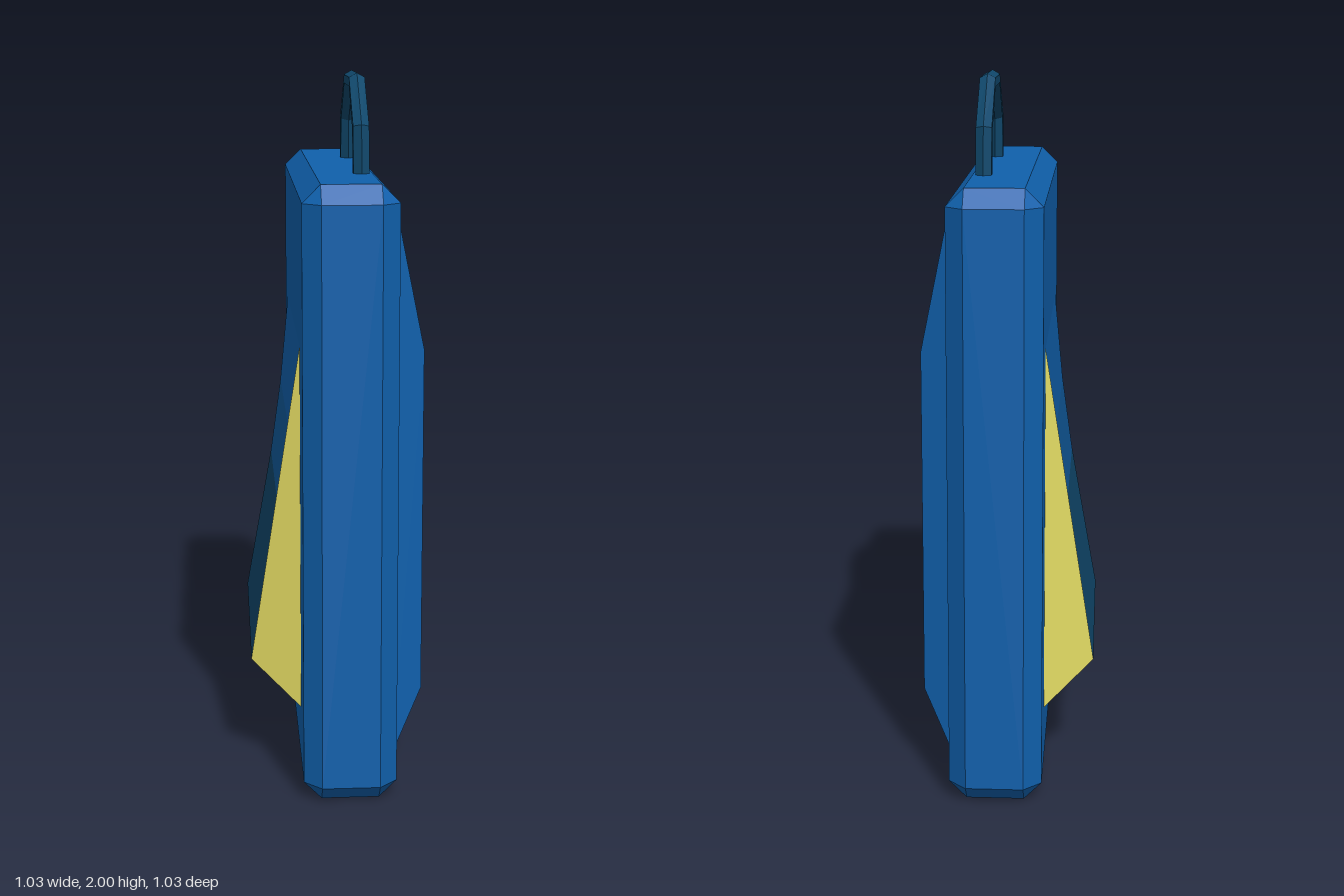
import * as THREE from 'three';
import { ConvexGeometry } from 'three/addons/geometries/ConvexGeometry.js';

const paint = (name, color) => {
  const m = new THREE.MeshStandardMaterial({ color });
  m.name = name;
  return m;
};

// Flat convex polygons, each turned to face away from an inner point
function panels(polys, inside) {
  const pos = [];
  const c = new THREE.Vector3(...inside);
  for (const poly of polys) {
    const p = poly.map((q) => new THREE.Vector3(...q));
    for (let i = 1; i < p.length - 1; i++) {
      const t = [p[0], p[i], p[i + 1]];
      const n = t[1].clone().sub(t[0]).cross(t[2].clone().sub(t[0]));
      if (n.dot(t[0].clone().sub(c)) < 0) t.reverse();
      t.forEach((v) => pos.push(v.x, v.y, v.z));
    }
  }
  const g = new THREE.BufferGeometry();
  g.setAttribute('position', new THREE.Float32BufferAttribute(pos, 3));
  g.computeVertexNormals();
  return g;
}

// Box with every edge and corner cut at 45 degrees
function chamferedBox(w, h, d, c) {
  const pts = [];
  for (const x of [-1, 1]) for (const y of [-1, 1]) for (const z of [-1, 1])
    for (let k = 0; k < 3; k++)
      pts.push(new THREE.Vector3(
        x * (w / 2 - (k === 0 ? 0 : c)),
        y * (h / 2 - (k === 1 ? 0 : c)),
        z * (d / 2 - (k === 2 ? 0 : c))));
  return new ConvexGeometry(pts);
}

export function createModel() {
  const blue = paint('blue fabric', 0x1060ac);
  const midBlue = paint('mid blue fabric', 0x105a9a);
  const dark = paint('dark teal fabric', 0x10486c);
  const yellow = paint('yellow trim', 0xe4dc64);

  const pack = new THREE.Group();
  pack.name = 'backpack';
  const add = (name, geometry, material, parent = pack) => {
    const m = new THREE.Mesh(geometry, material);
    m.name = name;
    parent.add(m);
    return m;
  };

  // Main body
  add('body', chamferedBox(1.294, 1.73, 0.262, 0.05), blue).position.y = 0.865;

  // Front pocket: rows of [half width, height, depth], top to bottom
  const rows = [
    [0.435, 1.27, 0.131], [0.42, 1.0, 0.157], [0.401, 0.77, 0.19],
    [0.354, 0.33, 0.272], [0.435, 0.21, 0.131],
  ];
  const pocket = new THREE.Group();
  pocket.name = 'frontPocket';
  pack.add(pocket);
  const mid = [0, 0.5, 0.1];
  const row = (i, s) => [s * rows[i][0], rows[i][1], rows[i][2]];
  const band = (i) => [row(i, -1), row(i, 1), row(i + 1, 1), row(i + 1, -1)];
  add('pocketTop', panels([band(0)], mid), blue, pocket);
  add('pocketMiddle', panels([band(1)], mid), midBlue, pocket);
  add('pocketFront', panels([band(2)], mid), dark, pocket);
  const sides = [-1, 1].map((s) => [3, 4, 0, 1, 2].map((i) => row(i, s)));
  add('pocketTrim', panels([band(3), ...sides], mid), yellow, pocket);

  // Back straps: tapered pads with yellow inner edges
  for (const s of [-1, 1]) {
    const base = [[0.445, 1.67], [0.268, 1.08], [0.268, 0.4], [0.445, 0.06]]
      .map(([x, y]) => [s * x, y, -0.131]);
    const cap = [[0.405, 1.25], [0.28, 1.07], [0.28, 0.42], [0.405, 0.25]]
      .map(([x, y]) => [s * x, y, -0.219]);
    const wall = (i) => {
      const j = (i + 1) % 4;
      return [base[i], base[j], cap[j], cap[i]];
    };
    const inside = [s * 0.36, 0.75, -0.16];
    const strap = new THREE.Group();
    strap.name = s > 0 ? 'leftStrap' : 'rightStrap';
    pack.add(strap);
    add('strapPad', panels([cap, wall(3)], inside), blue, strap);
    add('strapTrim', panels([wall(0), wall(1), wall(2)], inside), yellow, strap);
  }

  // Carry handle: six-sided rod swept between an outer and inner outline
  const half = [
    [0.312, 1.7, 0.237, 1.7], [0.29, 1.865, 0.219, 1.845], [0.11, 2.0, 0.098, 1.95],
  ];
  const path = [
    ...half.map(([a, b, c, d]) => [-a, b, -c, d]),
    ...half.slice().reverse(),
  ];
  const rings = path.map(([ox, oy, ix, iy]) => Array.from({ length: 6 }, (_, k) => {
    const a = (k * Math.PI) / 3, c = Math.cos(a) / 2;
    return [
      (ox + ix) / 2 + (ox - ix) * c + 0.005,
      (oy + iy) / 2 + (oy - iy) * c,
      -0.05 + 0.026 * Math.sin(a),
    ];
  }));
  const handle = new THREE.Group();
  handle.name = 'handle';
  pack.add(handle);
  for (let i = 0; i < rings.length - 1; i++) {
    const [a, b] = [rings[i], rings[i + 1]];
    const centre = [0, 1, 2].map((k) => (a[0][k] + a[3][k] + b[0][k] + b[3][k]) / 4);
    const quads = a.map((p, k) => [p, a[(k + 1) % 6], b[(k + 1) % 6], b[k]]);
    add('handleSegment', panels(quads, centre), dark, handle);
  }

  // The pack stands turned an eighth of a turn
  pack.rotation.y = -Math.PI / 4;
  const model = new THREE.Group();
  model.name = 'model';
  model.add(pack);
  return model;
}
